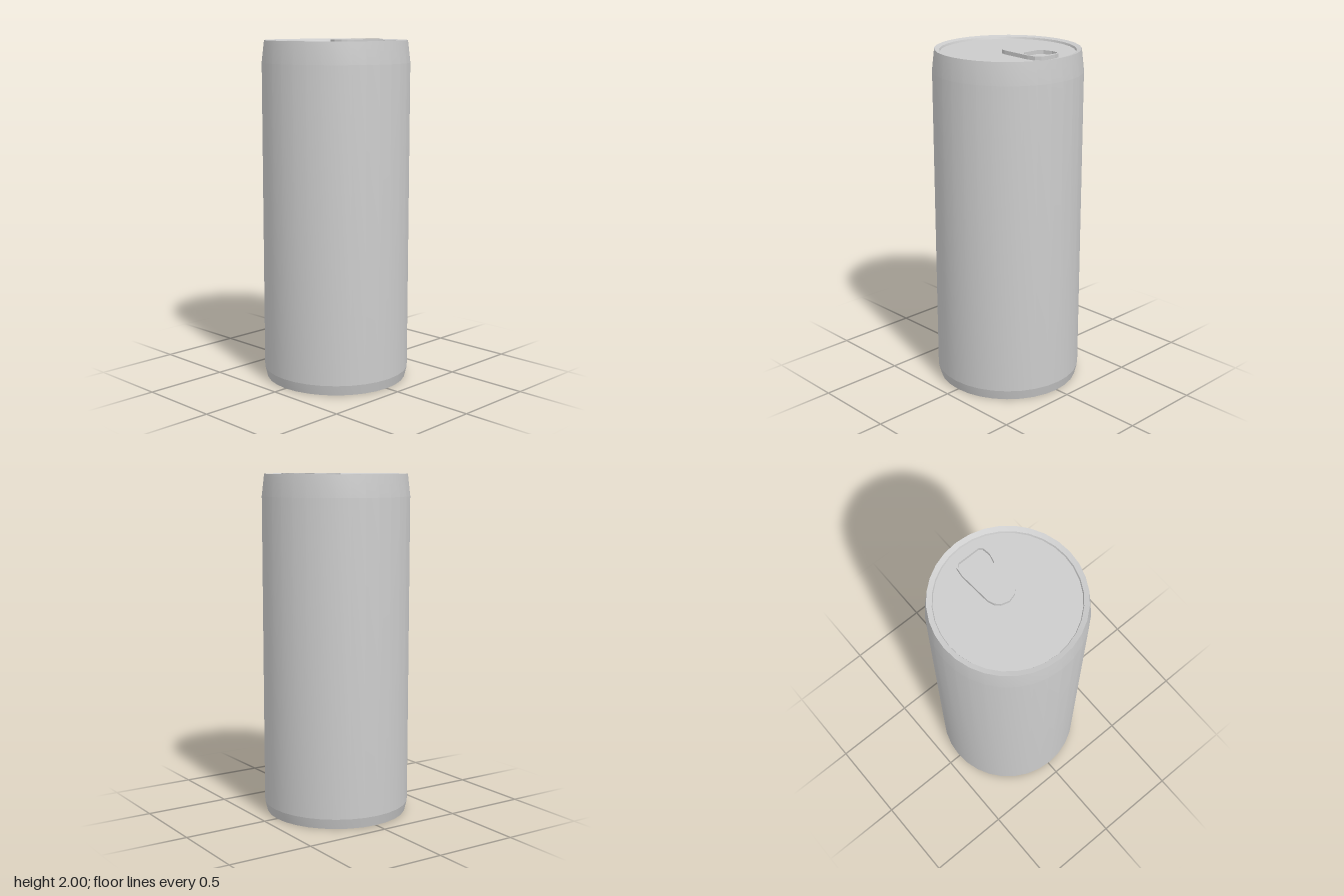
import * as THREE from 'three';
import { toCreasedNormals } from 'three/addons/utils/BufferGeometryUtils.js';

const SIDES = 32;
const LID_Y = 1.978;
const metal = new THREE.MeshStandardMaterial({ color: 0xcccccc });

function addMesh(group, name, geometry) {
  const mesh = new THREE.Mesh(geometry, metal);
  mesh.name = name;
  group.add(mesh);
  return mesh;
}

// Turned part from [radius, y] pairs, listed so the surface faces outward
function turned(profile) {
  const points = profile.map(([r, y]) => new THREE.Vector2(r, y));
  return toCreasedNormals(new THREE.LatheGeometry(points, SIDES), 0.22);
}

// Closed outline from its right half, mirrored across x = 0
function mirrored(half) {
  const left = half.filter(([x]) => x > 0).reverse().map(([x, y]) => [-x, y]);
  return [...half, ...left].map(([x, y]) => new THREE.Vector2(x, y));
}

export function createModel() {
  const can = new THREE.Group();
  can.name = 'can';

  // Bottom foot ring, straight wall and tapered shoulder
  addMesh(can, 'body', turned([[0.383, 0.018], [0.387, 0.012], [0.415, 0], [0.43, 0.06], [0.43, 1.87], [0.415, 1.997]]));

  // Inward sloping rim with a small step down to the lid
  addMesh(can, 'rim', turned([[0.415, 1.997], [0.387, 1.99], [0.383, LID_Y]]));

  // Recessed end discs
  addMesh(can, 'lid', turned([[0.383, LID_Y], [0, LID_Y]]));
  addMesh(can, 'base', turned([[0, 0.018], [0.383, 0.018]]));

  // Pull tab with finger hole; shape y becomes -z
  const tabShape = new THREE.Shape(mirrored([
    [0, -0.013], [0.045, 0], [0.07, 0.024], [0.084, 0.06], [0.097, 0.25],
    [0.09, 0.302], [0.067, 0.326], [0.03, 0.336],
  ]));
  tabShape.holes.push(new THREE.Path(mirrored([
    [0.05, 0.18], [0.077, 0.202], [0.09, 0.255], [0.083, 0.3], [0.065, 0.315],
  ])));
  const tabGeometry = new THREE.ExtrudeGeometry(tabShape, { depth: 2 - LID_Y, bevelEnabled: false });
  tabGeometry.rotateX(-Math.PI / 2);
  addMesh(can, 'pullTab', tabGeometry).position.y = LID_Y;

  return can;
}
